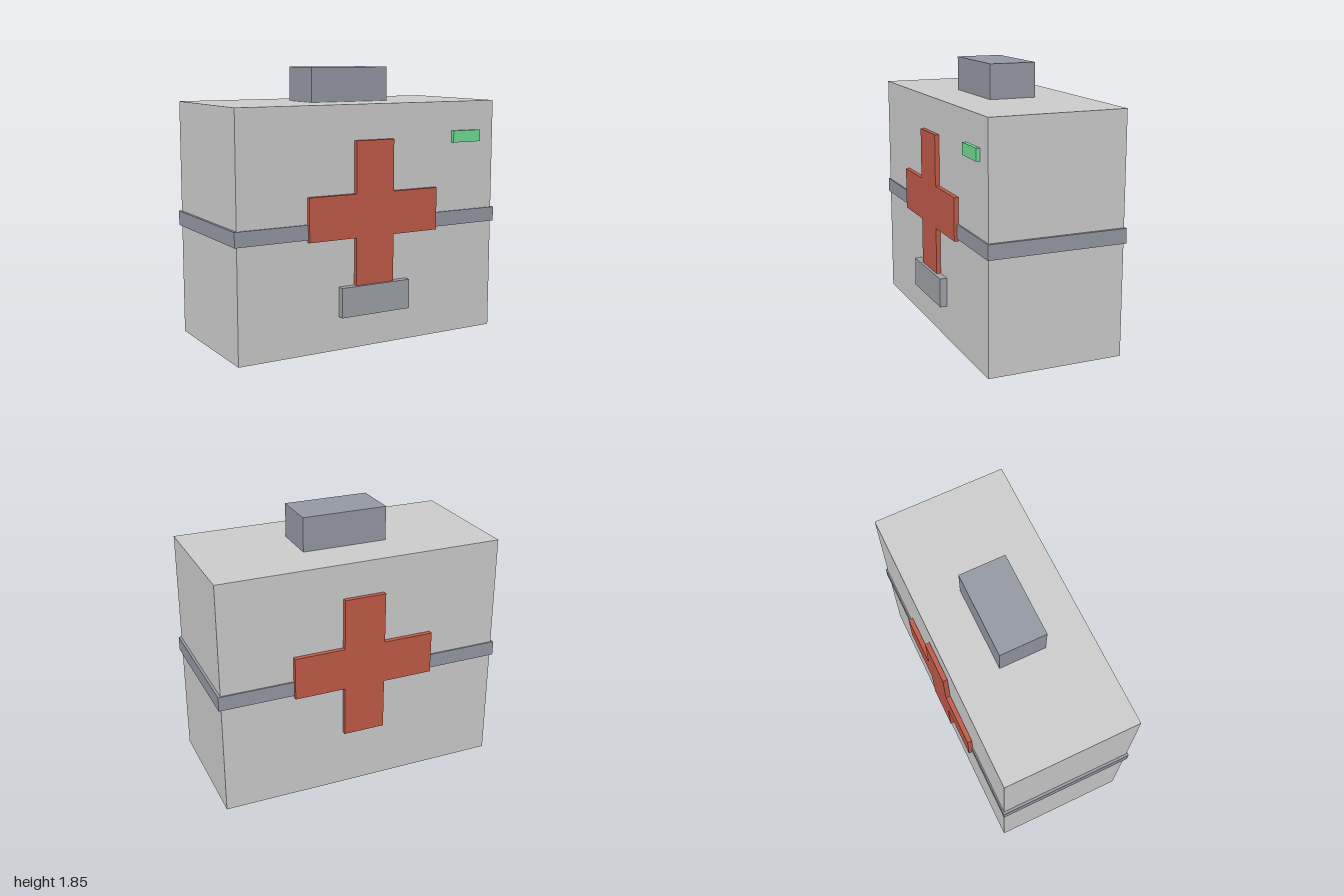
import * as THREE from 'three';

const mat = (color) => new THREE.MeshStandardMaterial({ color });

export function createModel() {
  const model = new THREE.Group();
  model.name = 'medicalCase';
  const grey = mat(0xcccccc);
  const slate = mat(0x9498a2);
  const steel = mat(0x9ea2a6);
  const red = mat(0xc05a48);
  const green = mat(0x70dd95);

  // Box given by its limits on each axis
  function box(name, material, [x0, x1], [y0, y1], [z0, z1]) {
    const mesh = new THREE.Mesh(new THREE.BoxGeometry(x1 - x0, y1 - y0, z1 - z0), material);
    mesh.position.set((x0 + x1) / 2, (y0 + y1) / 2, (z0 + z1) / 2);
    mesh.name = name;
    model.add(mesh);
  }

  // Case with a band around it and a grip on the lid
  box('caseBody', grey, [-0.982, 0.982], [0, 1.615], [-0.469, 0.454]);
  box('band', slate, [-1, 1], [0.761, 0.86], [-0.479, 0.464]);
  box('handle', slate, [-0.293, 0.293], [1.615, 1.847], [-0.17, 0.151]);

  // Front fittings
  box('latchPlate', steel, [-0.26, 0.26], [0.227, 0.427], [0.454, 0.503]);
  box('indicatorLight', green, [0.63, 0.856], [1.335, 1.415], [0.454, 0.48]);

  // Raised cross on the front and on the back
  const w = 0.143, a = 0.49;
  const top = 1.382, bottom = 0.4, armTop = 1.036, armBottom = 0.746;
  const outline = new THREE.Shape([
    [-w, bottom], [w, bottom], [w, armBottom], [a, armBottom], [a, armTop], [w, armTop],
    [w, top], [-w, top], [-w, armTop], [-a, armTop], [-a, armBottom], [-w, armBottom],
  ].map(([x, y]) => new THREE.Vector2(x, y)));
  const crossGeometry = new THREE.ExtrudeGeometry(outline, { depth: 0.032, bevelEnabled: false });
  for (const [name, z] of [['frontCross', 0.452], ['backCross', -0.503]]) {
    const cross = new THREE.Mesh(crossGeometry, red);
    cross.position.z = z;
    cross.name = name;
    model.add(cross);
  }

  return model;
}
